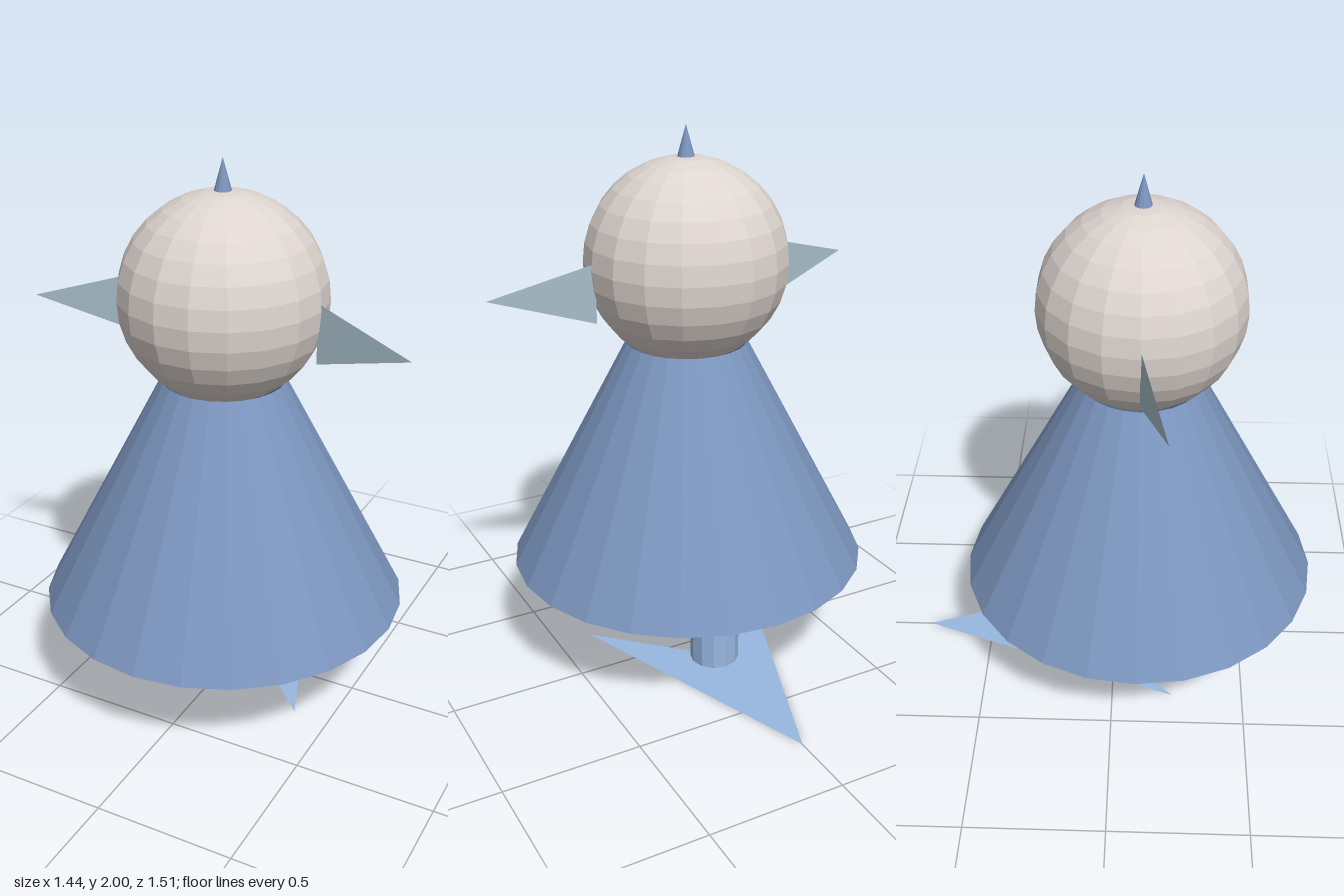
import * as THREE from 'three';

const BODY_Z = 0.092; // axis of head and skirt
const LEG_Z = -0.127; // axis of the single leg

function material(name, color, doubleSided = false) {
  const m = new THREE.MeshStandardMaterial({ color, flatShading: true });
  m.name = name;
  if (doubleSided) m.side = THREE.DoubleSide;
  return m;
}

// Flat sheet with the given outline in its own XY plane
function sheet(points) {
  const outline = points.map(([x, y]) => new THREE.Vector2(x, y));
  return new THREE.ShapeGeometry(new THREE.Shape(outline));
}

export function createModel() {
  const group = new THREE.Group();
  const slate = material('slateBlue', 0x7c96bf, true);
  const sky = material('skyBlue', 0x98b7e0, true);
  const mist = material('mistBlue', 0xa8bfca, true);
  const cream = material('warmGrey', 0xded5d0);

  const add = (name, geometry, mat, x, y, z) => {
    const mesh = new THREE.Mesh(geometry, mat);
    mesh.name = name;
    mesh.position.set(x, y, z);
    group.add(mesh);
    return mesh;
  };

  // Head and the small spike on its crown
  add('head', new THREE.SphereGeometry(0.368, 18, 16), cream, 0, 1.525, BODY_Z);
  add('crownSpike', new THREE.ConeGeometry(0.033, 0.12, 12), slate, 0, 1.94, BODY_Z);

  // Hollow flared skirt, open underneath
  add('skirt', new THREE.CylinderGeometry(0.22, 0.665, 0.85, 24, 1, true), slate, 0, 0.8, BODY_Z);

  // Single leg reaching up inside the skirt
  add('leg', new THREE.CylinderGeometry(0.092, 0.092, 0.9, 12), sky, 0, 0.45, LEG_Z);

  // Flat notched foot pointing backwards (sheet y becomes -z)
  const foot = sheet([[0, 0.757], [-0.364, -0.23], [0, -LEG_Z], [0.364, -0.23]]);
  foot.rotateX(-Math.PI / 2);
  add('foot', foot, sky, 0, 0.001, 0);

  // Flat triangular side fins, swept slightly forward
  for (const side of [1, -1]) {
    const fin = sheet([[0, -0.108], [side * 0.379, 0], [0, 0.108]]);
    fin.rotateY(-side * Math.atan2(0.093, 0.367));
    add(side > 0 ? 'leftFin' : 'rightFin', fin, mist, side * 0.353, 1.445, BODY_Z);
  }

  return group;
}
